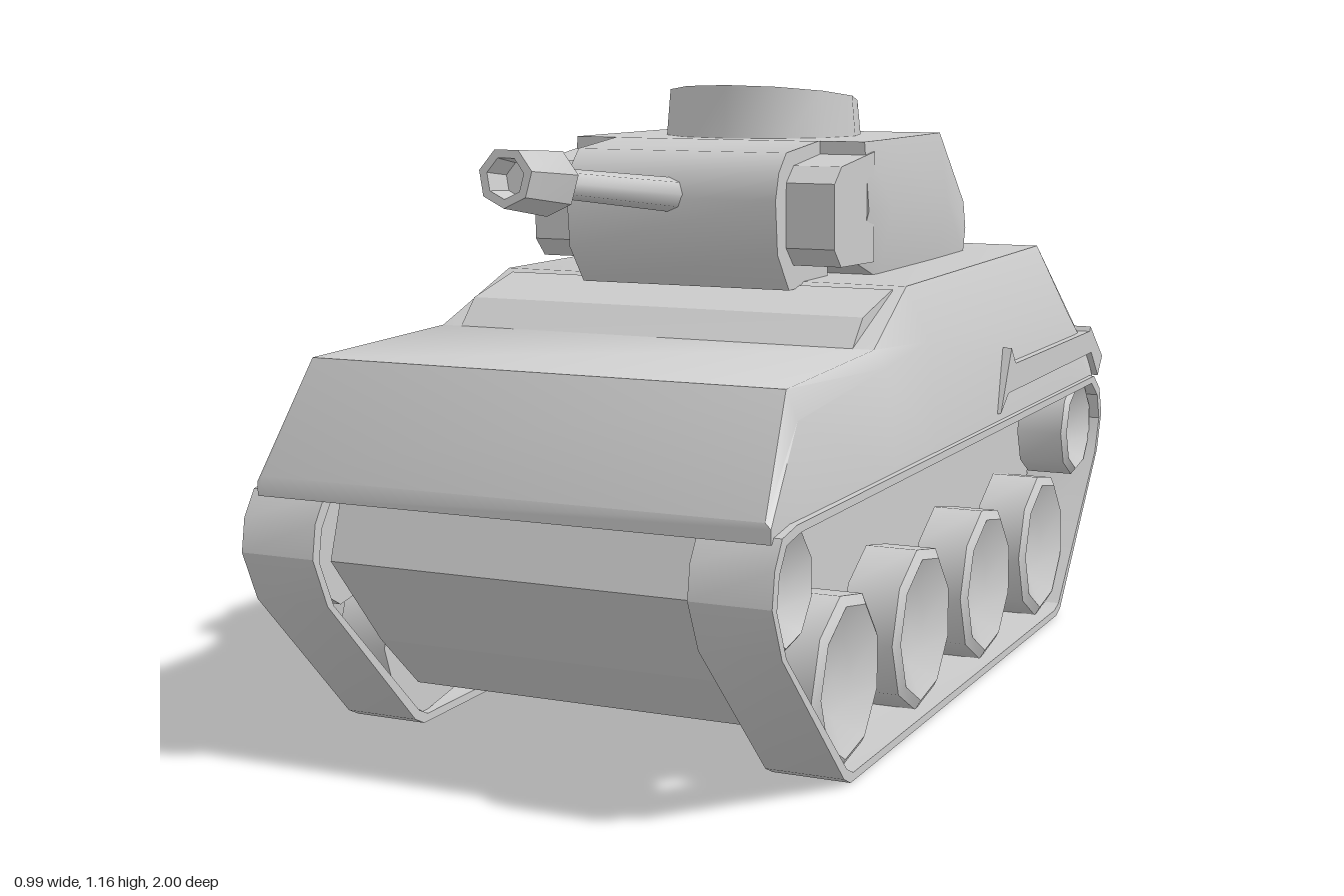
import * as THREE from 'three';
import { toCreasedNormals } from 'three/addons/utils/BufferGeometryUtils.js';

const material = new THREE.MeshStandardMaterial({ color: 0xcccccc, side: THREE.DoubleSide });

function part(parent, name, geometry, crease = 0.6) {
  const flat = geometry.index ? geometry.toNonIndexed() : geometry;
  const mesh = new THREE.Mesh(toCreasedNormals(flat, crease), material);
  mesh.name = name;
  parent.add(mesh);
  return mesh;
}

// Side profile of [z, y] points, given a width across x
function slab(points, width, x = 0, hole = null) {
  const shape = new THREE.Shape(points.map(([z, y]) => new THREE.Vector2(z, y)));
  if (hole) shape.holes.push(new THREE.Path(hole.map(([z, y]) => new THREE.Vector2(z, y))));
  return new THREE.ExtrudeGeometry(shape, { depth: width, bevelEnabled: false })
    .translate(0, 0, -width / 2).rotateY(-Math.PI / 2).translate(x, 0, 0);
}

// Body through six-sided sections, rear to front: [z, topY, topHalf, midY, midHalf, lowY, lowHalf]
function loft(sections) {
  const position = [], index = [], n = 6;
  for (const [z, ty, tx, my, mx, by, bx] of sections) {
    position.push(-bx, by, z, bx, by, z, mx, my, z, tx, ty, z, -tx, ty, z, -mx, my, z);
  }
  const last = (sections.length - 1) * n;
  for (let s = 0; s < last; s += n) {
    for (let j = 0; j < n; j++) {
      const a = s + j, b = s + (j + 1) % n;
      index.push(a, b, b + n, a, b + n, a + n);
    }
  }
  for (let j = 1; j < n - 1; j++) {
    index.push(0, j + 1, j, last, last + j, last + j + 1);
  }
  const geometry = new THREE.BufferGeometry();
  geometry.setAttribute('position', new THREE.Float32BufferAttribute(position, 3));
  geometry.setIndex(index);
  return geometry;
}

function lathe(points, sides) {
  return new THREE.LatheGeometry(points.map(([r, y]) => new THREE.Vector2(r, y)), sides);
}

export function createModel() {
  const model = new THREE.Group();
  model.name = 'tank';

  // Hull
  part(model, 'lowerHull', slab([
    [0.9, 0.485], [0.94, 0.365], [0.79, 0.19], [0.67, 0.08],
    [-0.6, 0.08], [-0.75, 0.19], [-0.87, 0.365], [-0.84, 0.485],
  ], 0.71), 0.1);
  part(model, 'upperHull', loft([
    [-0.89, 0.52, 0.46, 0.51, 0.475, 0.485, 0.48],
    [-0.84, 0.60, 0.45, 0.56, 0.475, 0.485, 0.485],
    [-0.70, 0.80, 0.40, 0.66, 0.47, 0.485, 0.485],
    [0.20, 0.80, 0.42, 0.70, 0.465, 0.485, 0.485],
    [0.42, 0.71, 0.44, 0.68, 0.465, 0.485, 0.485],
    [0.84, 0.70, 0.45, 0.65, 0.47, 0.485, 0.483],
    [0.97, 0.51, 0.47, 0.50, 0.48, 0.475, 0.48],
  ]), 0.9);
  part(model, 'driverHood', slab([
    [0.43, 0.7], [0.37, 0.76], [0.22, 0.795], [0.22, 0.69],
  ], 0.8), 0.1);
  part(model, 'rearFender', slab([
    [-0.83, 0.61], [-0.81, 0.58], [-0.90, 0.49], [-0.935, 0.53],
  ], 0.98), 0.1);

  // Running gear, mirrored on both sides
  const belt = [
    [0.99, 0.44], [0.96, 0.485], [0.9, 0.495], [-0.85, 0.495], [-0.9, 0.46], [-0.92, 0.4],
    [-0.89, 0.32], [-0.61, 0.01], [-0.58, 0], [0.66, 0], [0.69, 0.015], [0.96, 0.29], [1, 0.38],
  ];
  const beltInside = belt.map(([z, y]) => [0.04 + (z - 0.04) * 0.98, 0.25 + (y - 0.25) * 0.94]);
  const wheels = [
    [0.61, 0.165, 0.155], [0.225, 0.165, 0.155], [-0.16, 0.165, 0.155], [-0.545, 0.165, 0.155],
    [0.88, 0.385, 0.108], [-0.8, 0.385, 0.108],
  ];
  for (const [side, label] of [[1, 'left'], [-1, 'right']]) {
    const gear = new THREE.Group();
    gear.name = label + 'RunningGear';
    model.add(gear);
    part(gear, 'track', slab(belt, 0.145, side * 0.4225, beltInside), 0.5);
    for (const [z, y, r] of wheels) {
      // Dished wheel facing outwards
      const wheel = part(gear, 'wheel', lathe([
        [0, -0.055], [r, -0.055], [r, 0.045], [r * 0.88, 0.055], [r * 0.45, 0.025], [0, 0.02],
      ], 9), 0.75);
      wheel.rotation.z = -side * Math.PI / 2;
      wheel.position.set(side * 0.42, y, z);
    }
    part(gear, 'sideRail', slab([
      [-0.17, 0.51], [-0.235, 0.635], [-0.265, 0.6], [-0.82, 0.6], [-0.87, 0.55], [-0.22, 0.545],
    ], 0.03, side * 0.475), 0.1);
  }

  // Turret
  const turret = new THREE.Group();
  turret.name = 'turret';
  model.add(turret);
  part(turret, 'turretBody', loft([
    [-0.53, 0.905, 0.285, 0.85, 0.29, 0.79, 0.285],
    [-0.34, 1.06, 0.295, 0.93, 0.312, 0.79, 0.29],
    [0.0, 1.06, 0.305, 0.93, 0.318, 0.79, 0.29],
    [0.12, 1.06, 0.305, 0.93, 0.315, 0.83, 0.29],
  ]), 0.5);
  part(turret, 'mantlet', slab([
    [0.08, 0.79], [0.27, 0.79], [0.325, 0.86], [0.335, 0.96],
    [0.32, 1.01], [0.285, 1.045], [0.13, 1.06], [0.08, 1.06],
  ], 0.43), 0.7);
  for (const side of [-1, 1]) {
    part(turret, 'turretCheek', slab([
      [0.08, 0.83], [0.25, 0.835], [0.285, 0.87], [0.285, 0.99], [0.25, 1.02], [0.08, 1.04],
    ], 0.105, side * 0.258), 0.4);
  }

  // Cupola with a top that slopes down to the rear
  const cupola = new THREE.CylinderGeometry(0.19, 0.2, 0.1, 12);
  const p = cupola.attributes.position;
  for (let i = 0; i < p.count; i++) {
    if (p.getY(i) > 0) p.setY(i, 0.06 + p.getZ(i) * 0.12);
  }
  part(turret, 'cupola', cupola, 0.7).position.set(0, 1.08, -0.11);

  // Gun, raised slightly
  const gun = new THREE.Group();
  gun.name = 'gun';
  gun.position.set(-0.005, 0.965, 0.32);
  gun.rotation.x = Math.PI / 2 - 0.106;
  turret.add(gun);
  part(gun, 'barrel', lathe([[0, -0.05], [0.033, -0.05], [0.025, 0.48], [0, 0.48]], 8), 0.9);
  part(gun, 'muzzle', lathe([
    [0, 0.45], [0.045, 0.45], [0.058, 0.47], [0.05, 0.615], [0.035, 0.615], [0.03, 0.56], [0, 0.56],
  ], 7), 0.7);

  // Antenna: a tapering blade swept back along a curve
  const curve = new THREE.CatmullRomCurve3([
    [-0.43, 0.56, -0.865], [-0.43, 0.72, -0.875], [-0.437, 0.84, -0.9],
    [-0.444, 0.95, -0.95], [-0.452, 1.05, -1],
  ].map((v) => new THREE.Vector3(...v)));
  const blade = new THREE.CylinderGeometry(0.001, 0.013, 1, 5, 6);
  const q = blade.attributes.position;
  for (let i = 0; i < q.count; i++) {
    const c = curve.getPoint(THREE.MathUtils.clamp(q.getY(i) + 0.5, 0, 1));
    q.setXYZ(i, c.x + q.getX(i), c.y, c.z + q.getZ(i));
  }
  part(model, 'antenna', blade, 0.9);

  return model;
}
